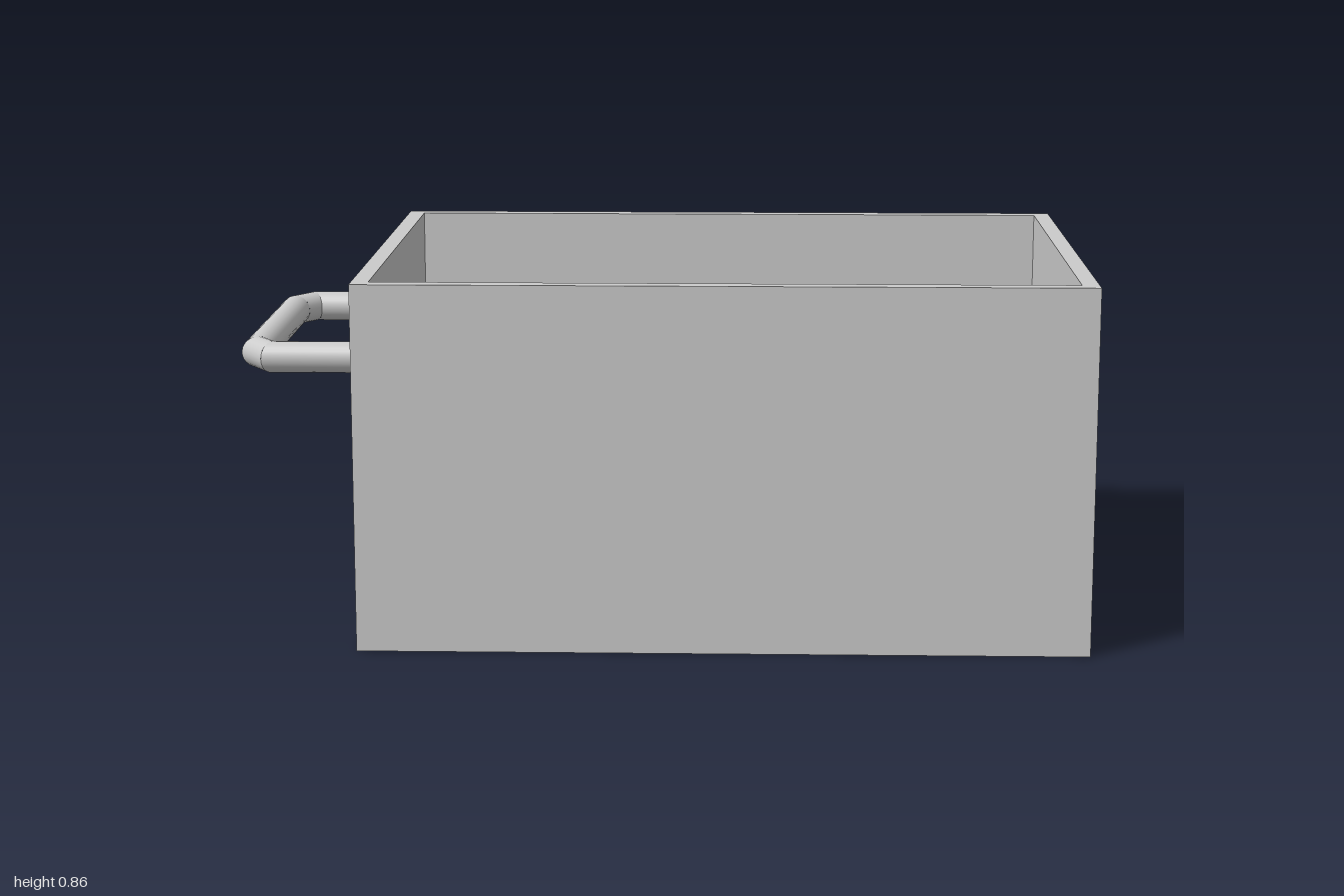
import * as THREE from 'three';

const material = new THREE.MeshStandardMaterial({ color: 0xcccccc });

function add(parent, name, geometry) {
  const mesh = new THREE.Mesh(geometry, material);
  mesh.name = name;
  parent.add(mesh);
  return mesh;
}

function rectangle(target, x0, x1, halfDepth) {
  target.moveTo(x0, -halfDepth);
  target.lineTo(x1, -halfDepth);
  target.lineTo(x1, halfDepth);
  target.lineTo(x0, halfDepth);
  target.closePath();
  return target;
}

// Straight rod from a to b, its ends cut along planes with normals na and nb
function mitredRod(a, b, na, nb, radius) {
  const dir = b.clone().sub(a).normalize();
  const length = a.distanceTo(b);
  const geometry = new THREE.CylinderGeometry(radius, radius, length, 24, 1, true);
  geometry.translate(0, length / 2, 0);
  const atEnd = [];
  const pos = geometry.attributes.position;
  for (let i = 0; i < pos.count; i++) atEnd.push(pos.getY(i) > length / 2);
  geometry.applyQuaternion(
    new THREE.Quaternion().setFromUnitVectors(new THREE.Vector3(0, 1, 0), dir));
  geometry.translate(a.x, a.y, a.z);

  // Slide each end vertex along the rod until it lies on the mitre plane
  const p = new THREE.Vector3();
  for (let i = 0; i < pos.count; i++) {
    const [end, normal] = atEnd[i] ? [b, nb] : [a, na];
    p.fromBufferAttribute(pos, i);
    const slide = -p.clone().sub(end).dot(normal) / dir.dot(normal);
    p.addScaledVector(dir, slide);
    pos.setXYZ(i, p.x, p.y, p.z);
  }
  return geometry;
}

export function createModel() {
  const model = new THREE.Group();
  model.name = 'handledBox';

  // Open box: four walls around a thin floor sheet
  const x0 = -0.7, x1 = 1, halfDepth = 0.615, height = 0.862, wall = 0.04, base = 0.01;
  const outline = rectangle(new THREE.Shape(), x0, x1, halfDepth);
  outline.holes.push(rectangle(new THREE.Path(), x0 + wall, x1 - wall, halfDepth - wall));
  const walls = new THREE.ExtrudeGeometry(outline, { depth: height, bevelEnabled: false });
  walls.rotateX(-Math.PI / 2);
  add(model, 'walls', walls);

  const floor = new THREE.BoxGeometry(x1 - x0 - 2 * wall, base, 2 * (halfDepth - wall));
  add(model, 'floor', floor).position.set((x0 + x1) / 2, base / 2, 0);

  // Bent rod handle on the right end, set slightly towards the front
  const handle = new THREE.Group();
  handle.name = 'handle';
  handle.position.set(0, 0.649, 0.012);
  model.add(handle);
  const half = [[-0.7, -0.36], [-0.92, -0.36], [-0.963, -0.295]];
  const mirrored = half.map(([x, z]) => [x, -z]).reverse();
  const path = [...half, ...mirrored].map(([x, z]) => new THREE.Vector3(x, 0, z));
  const dirs = path.slice(1).map((p, i) => p.clone().sub(path[i]).normalize());
  const normals = path.map((_, i) =>
    (dirs[i - 1] ?? dirs[i]).clone().add(dirs[i] ?? dirs[i - 1]).normalize());
  const names = ['backArm', 'backBend', 'grip', 'frontBend', 'frontArm'];
  names.forEach((name, i) =>
    add(handle, name, mitredRod(path[i], path[i + 1], normals[i], normals[i + 1], 0.037)));

  return model;
}
